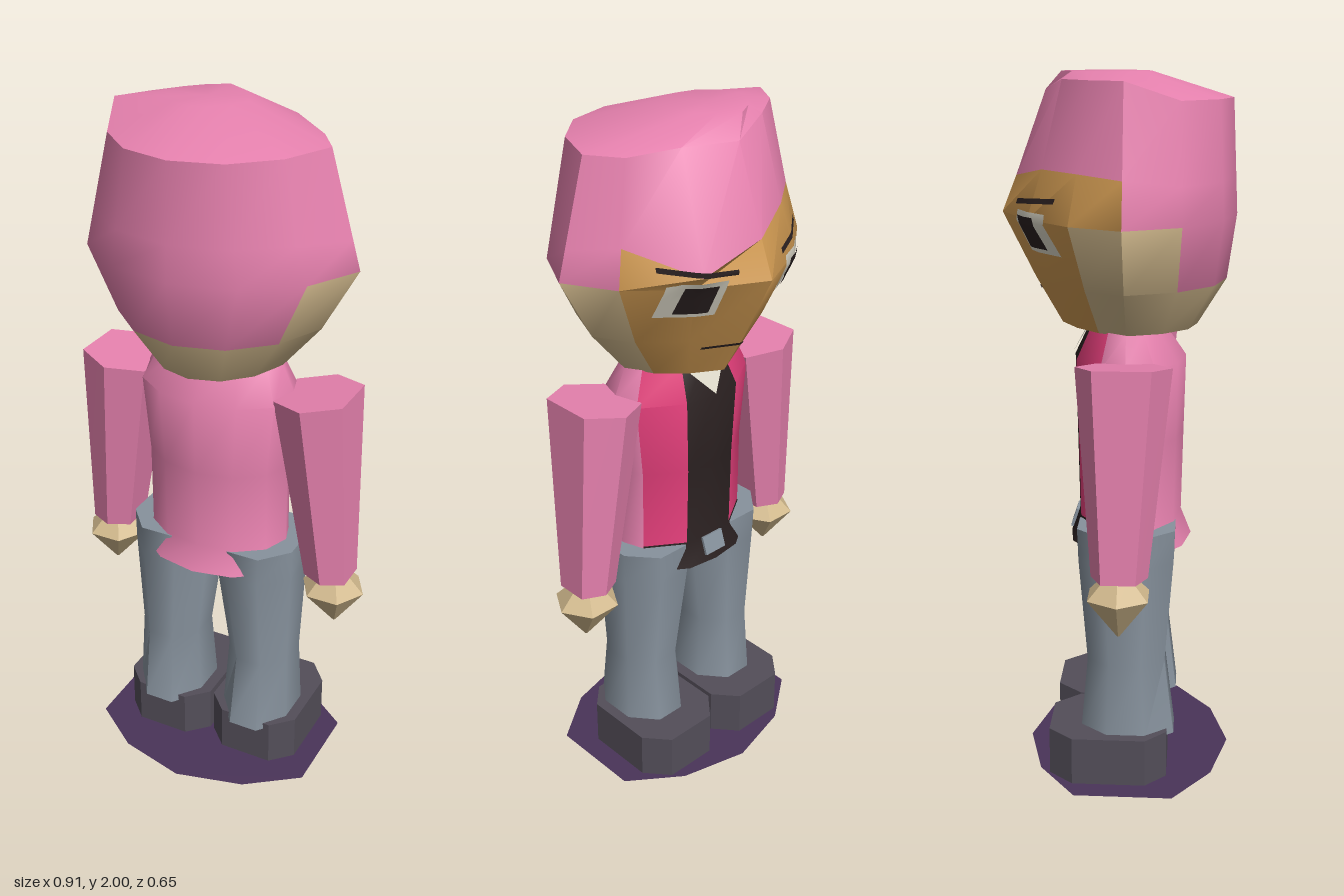
import * as THREE from 'three';
import { toCreasedNormals } from 'three/addons/utils/BufferGeometryUtils.js';

const mat = (name, color, side = THREE.FrontSide) => {
  const m = new THREE.MeshStandardMaterial({ color, side });
  m.name = name;
  return m;
};

// Ring of points [x, y, z] from a unit outline, with separate back and front depths
const ring = (outline, y, cx, rx, zc, zBack, zFront) => outline.map(([u, v]) =>
  [cx + u * rx, y, v >= 0 ? zc + v * (zBack - zc) : zc - v * (zFront - zc)]);

// Half outline running from back (+z) to front (-z), mirrored to a full loop
const fullLoop = (half) => [...half, ...half.slice(1, -1).reverse().map(([u, v]) => [-u, v])];

// Closed skin through rings, bottom to top; pick(row, col) chooses the material,
// row -1 is the bottom cap and row rings.length - 1 the top cap
function loft(name, rings, materials, pick = () => 0, crease = 0.8) {
  const buckets = materials.map(() => []);
  const n = rings[0].length, last = rings.length - 1;
  const tri = (k, a, b, c) => buckets[k].push(...a, ...b, ...c);
  for (let r = 0; r < last; r++) {
    for (let i = 0; i < n; i++) {
      const j = (i + 1) % n, k = pick(r, i);
      tri(k, rings[r][i], rings[r][j], rings[r + 1][j]);
      tri(k, rings[r][i], rings[r + 1][j], rings[r + 1][i]);
    }
  }
  const middle = (pts) => [0, 1, 2].map((a) => pts.reduce((s, p) => s + p[a], 0) / n);
  const low = middle(rings[0]), high = middle(rings[last]);
  for (let i = 0; i < n; i++) {
    const j = (i + 1) % n;
    tri(pick(-1, i), low, rings[0][j], rings[0][i]);
    tri(pick(last, i), high, rings[last][i], rings[last][j]);
  }
  const geo = new THREE.BufferGeometry();
  geo.setAttribute('position', new THREE.Float32BufferAttribute(buckets.flat(), 3));
  let start = 0;
  buckets.forEach((b, k) => { geo.addGroup(start, b.length / 3, k); start += b.length / 3; });
  const mesh = new THREE.Mesh(toCreasedNormals(geo, crease), materials);
  mesh.name = name;
  return mesh;
}

export function createModel() {
  const pink = mat('pink cloth', 0xe681ae);
  const crimson = mat('crimson lining', 0xdf3d78);
  const black = mat('black', 0x2a2020, THREE.DoubleSide);
  const grey = mat('grey trousers', 0x87929d, THREE.DoubleSide);
  const leather = mat('dark leather', 0x534e59);
  const purple = mat('purple base', 0x4a3459, THREE.DoubleSide);
  const skin = mat('pale skin', 0xd0b88c);
  const face = mat('tan face', 0xd09a52);
  const white = mat('off white', 0xdedaca, THREE.DoubleSide);

  const model = new THREE.Group();
  model.name = 'figure';

  // Head and hood: one faceted skin, coloured by cell
  const headLoop = fullLoop([[0, 1], [0.45, 0.87], [0.8, 0.51], [1, 0], [0.81, -0.4], [0.45, -0.745], [0, -1]]);
  const headRing = (y, rx, zb, zf, cx = 0, zc = 0.03) => ring(headLoop, y, cx, rx, zc, zb, zf);
  const jaw = headRing(1.31, 0.19, 0.22, -0.16);
  const cheek = headRing(1.44, 0.3, 0.3, -0.235);
  const brow = headRing(1.62, 0.4, 0.325, -0.325);
  const crown = headRing(1.93, 0.31, 0.31, -0.2);
  const top = headRing(2.0, 0.12, 0.09, -0.15, -0.06, -0.02);
  // Uneven hairline: higher on the right side, a tuft over the left eye
  const hairY = [1.72, 1.72, 1.72, 1.7, 1.72, 1.66, 1.72, 1.75, 1.75, 1.74, 1.72, 1.72];
  const hair = brow.map((p, i) => {
    const t = (hairY[i] - 1.62) / 0.31;
    return [p[0] + (crown[i][0] - p[0]) * t, hairY[i], p[2] + (crown[i][2] - p[2]) * t];
  });
  hair[5] = [0.185, 1.66, -0.268];
  crown.forEach((p) => { if (p[0] < -0.1 && p[2] < 0.05) p[1] = 1.98; else if (p[2] < -0.1) p[1] = 1.95; });
  model.add(loft('head', [jaw, cheek, brow, hair, crown, top], [pink, skin, face], (r, i) => {
    const front = i >= 4 && i <= 7, backSide = i <= 1 || i >= 10;
    if (r < 0) return 1;
    if (r <= 1) return front ? 2 : r === 1 && backSide ? 0 : 1;
    return r === 2 && (front || i === 8) ? 2 : 0;
  }, 0.75));

  // Depth of the face at (x, y)
  const faceZ = (x, y) => {
    const pts = [4, 5, 6, 7, 8].map((i) => {
      const [a, b] = y < 1.44 ? [jaw[i], cheek[i]] : y < 1.62 ? [cheek[i], brow[i]] : [brow[i], hair[i]];
      const t = Math.min(1, (y - a[1]) / (b[1] - a[1]));
      return [a[0] + (b[0] - a[0]) * t, a[2] + (b[2] - a[2]) * t];
    });
    for (let k = 0; k < 4; k++) {
      const [p, q] = [pts[k], pts[k + 1]];
      if (x <= p[0] && x >= q[0]) return p[1] + (q[1] - p[1]) * (p[0] - x) / (p[0] - q[0]);
    }
    return pts[x > 0 ? 0 : 4][1];
  };
  // Thin painted patch that follows the face
  const patch = (name, material, cx, cy, w, h, lift, slant = 0) => {
    const geo = new THREE.PlaneGeometry(w, h, 8, 4);
    geo.rotateY(Math.PI);
    const p = geo.attributes.position;
    for (let i = 0; i < p.count; i++) {
      const x = cx + p.getX(i), y = cy + p.getY(i) + slant * p.getX(i);
      p.setXYZ(i, x, y, faceZ(x, y) - lift);
    }
    geo.computeVertexNormals();
    const mesh = new THREE.Mesh(geo, material);
    mesh.name = name;
    model.add(mesh);
  };
  for (const s of [1, -1]) {
    patch('eyeWhite', white, s * 0.175, 1.585, 0.13, 0.11, 0.006);
    patch('pupil', black, s * 0.17, 1.585, 0.075, 0.085, 0.011);
    patch('eyebrow', black, s * 0.175, 1.668, 0.17, 0.014, 0.008, s * 0.1);
  }
  patch('mouth', black, 0.045, 1.41, 0.11, 0.008, 0.006);

  // Jacket with open front showing the black shirt
  const bodyLoop = fullLoop([[0, 1], [0.5, 0.87], [0.87, 0.5], [1, 0], [0.9, -0.45], [0.4, -0.93], [0, -1]]);
  const body = [
    [0.685, 0.235, 0.21, -0.14], [0.76, 0.212, 0.18, -0.115], [1.0, 0.212, 0.185, -0.12],
    [1.22, 0.235, 0.19, -0.125], [1.315, 0.19, 0.12, -0.08],
  ].map(([y, rx, zb, zf]) => ring(bodyLoop, y, 0, rx, 0.03, zb, zf));
  model.add(loft('jacket', body, [pink, crimson, black], (r, i) => {
    if (r < 0 || i < 4 || i > 7) return 0;
    return r === 0 || i === 5 || i === 6 ? 2 : 1;
  }));

  // Shirt collar and belt buckle
  const collarGeo = new THREE.BufferGeometry();
  collarGeo.setAttribute('position', new THREE.Float32BufferAttribute(
    [-0.078, 1.312, -0.083, 0.078, 1.312, -0.083, 0, 1.225, -0.131], 3));
  collarGeo.computeVertexNormals();
  const collar = new THREE.Mesh(collarGeo, white);
  collar.name = 'collar';
  const buckle = new THREE.Mesh(new THREE.BoxGeometry(0.075, 0.055, 0.008), grey);
  buckle.name = 'buckle';
  buckle.position.set(0, 0.735, -0.127);
  buckle.rotation.x = 0.32;
  model.add(collar, buckle);

  // Limbs
  const hexLoop = [[0, 1], [1, 0.6], [1, -0.6], [0, -1], [-1, -0.6], [-1, 0.6]];
  const handLoop = [[0.5, 0.87], [1, 0], [0.5, -0.87], [-0.5, -0.87], [-1, 0], [-0.5, 0.87]];
  const legLoop = Array.from({ length: 8 }, (_, i) => {
    const a = (i + 0.5) * Math.PI / 4;
    return [Math.sin(a) * 1.08, Math.cos(a) * 1.08];
  });
  const shoeShape = new THREE.Shape([
    [-0.08, -0.15], [0.08, -0.15], [0.14, -0.09], [0.14, 0.12],
    [0.08, 0.19], [-0.08, 0.19], [-0.14, 0.12], [-0.14, -0.09],
  ].map(([x, y]) => new THREE.Vector2(x, y)));
  const shoeGeo = new THREE.ExtrudeGeometry(shoeShape, { depth: 0.15, bevelEnabled: false });
  shoeGeo.rotateX(-Math.PI / 2);

  for (const s of [1, -1]) {
    const side = s > 0 ? 'left' : 'right';
    const shoulder = ring(hexLoop, 1.25, s * 0.3, 0.1, 0.03, 0.16, -0.1);
    shoulder.forEach((p) => { p[1] += (Math.abs(p[0]) - 0.3) * 0.13; });
    const cuff = ring(hexLoop, 0.68, s * 0.353, 0.063, 0.022, 0.1, -0.056);
    model.add(loft(side + 'Sleeve', [cuff, shoulder], [pink], undefined, 0.5));

    const hand = [[0.515, 0.004], [0.63, 0.094], [0.69, 0.035]].map(([y, r]) =>
      ring(handLoop, y, s * (y < 0.6 ? 0.37 : 0.362), r, 0.02, 0.02 + r, 0.02 - r));
    model.add(loft(side + 'Hand', hand, [skin], undefined, 0.3));

    const leg = [[0.13, 0.147, 0.108, 0.17, -0.1], [0.36, 0.15, 0.096, 0.142, -0.08],
      [0.66, 0.135, 0.122, 0.165, -0.105], [0.755, 0.14, 0.118, 0.168, -0.108]]
      .map(([y, cx, rx, zb, zf]) => ring(legLoop, y, s * cx, rx, 0.03, zb, zf));
    model.add(loft(side + 'Leg', leg, [grey], undefined, 0.9));

    const shoe = new THREE.Mesh(shoeGeo, leather);
    shoe.name = side + 'Shoe';
    shoe.position.x = s * 0.146;
    model.add(shoe);
  }

  // Flat ten-sided base
  const half = [[0, 0.3], [0.2, 0.25], [0.35, 0.14], [0.35, -0.14], [0.2, -0.25], [0, -0.3]];
  const baseShape = new THREE.Shape(fullLoop(half).map(([x, z]) => new THREE.Vector2(x, z)));
  const baseGeo = new THREE.ShapeGeometry(baseShape);
  baseGeo.rotateX(-Math.PI / 2);
  const base = new THREE.Mesh(baseGeo, purple);
  base.name = 'base';
  base.position.set(0, 0.008, 0.03);
  model.add(base);

  return model;
}
